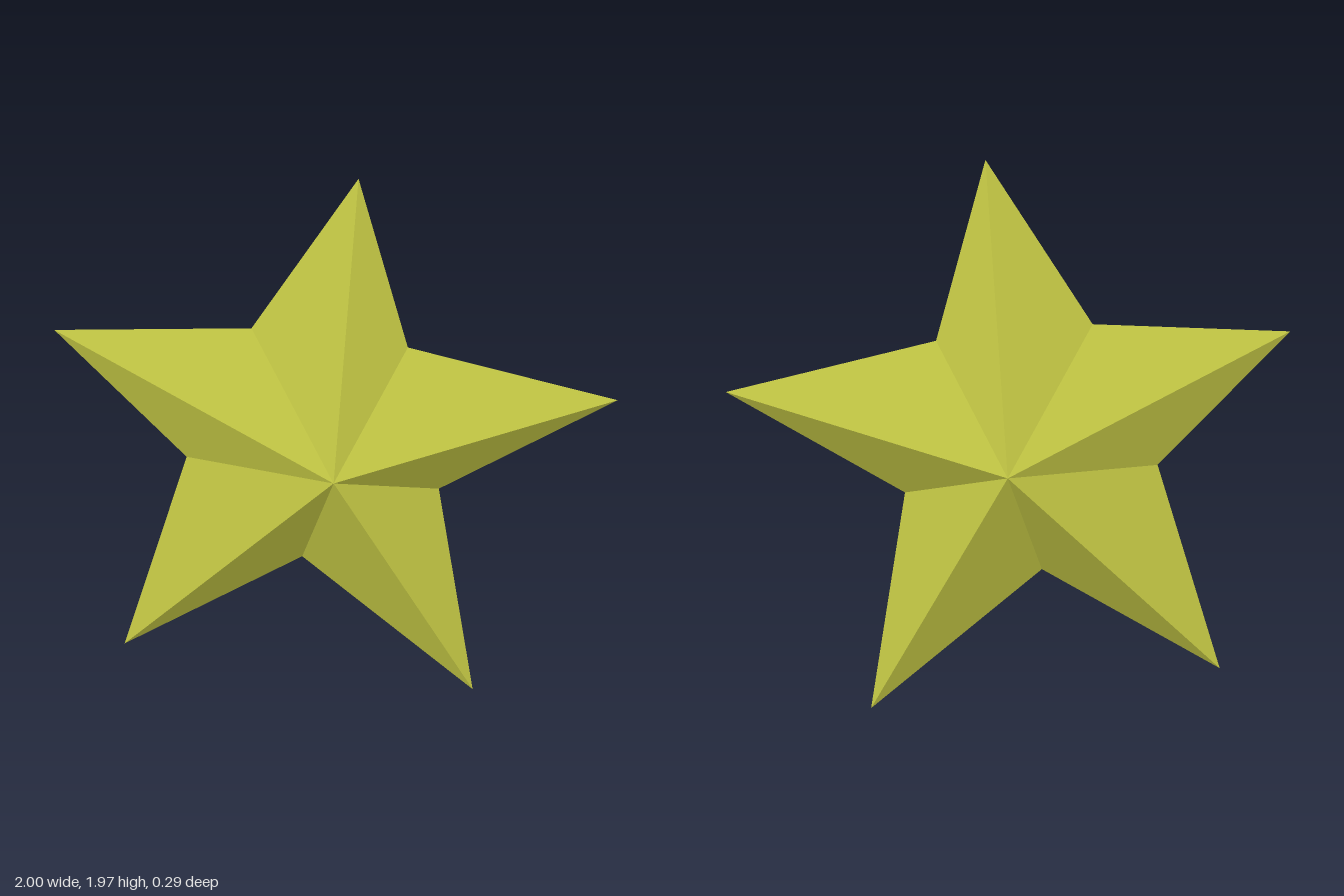
import * as THREE from 'three';

// Star outline, clockwise from the top tip, alternating tip and notch
const OUTLINE = [
  [0.08, 1.97], [0.255, 1.32], [1.0, 1.135], [0.365, 0.775], [0.485, 0],
  [-0.12, 0.5], [-0.75, 0.145], [-0.53, 0.875], [-1.0, 1.355], [-0.3, 1.38],
];
const CENTER = [0, 0.85];
const DEPTH = 0.145;

// Facets fanning from the raised centre to the flat outline; side is 1 (front) or -1 (back)
function starHalf(side) {
  const positions = [];
  OUTLINE.forEach((a, i) => {
    const b = OUTLINE[(i + 1) % OUTLINE.length];
    const [first, second] = side > 0 ? [b, a] : [a, b];
    positions.push(...CENTER, side * DEPTH, ...first, 0, ...second, 0);
  });
  const geometry = new THREE.BufferGeometry();
  geometry.setAttribute('position', new THREE.Float32BufferAttribute(positions, 3));
  geometry.computeVertexNormals(); // unshared corners keep the facets flat
  return geometry;
}

export function createModel() {
  const group = new THREE.Group();
  group.name = 'star';
  const yellow = new THREE.MeshStandardMaterial({ color: 0xc8cc46 });
  yellow.name = 'olive yellow';

  for (const [name, side] of [['starFront', 1], ['starBack', -1]]) {
    const mesh = new THREE.Mesh(starHalf(side), yellow);
    mesh.name = name;
    group.add(mesh);
  }
  return group;
}
